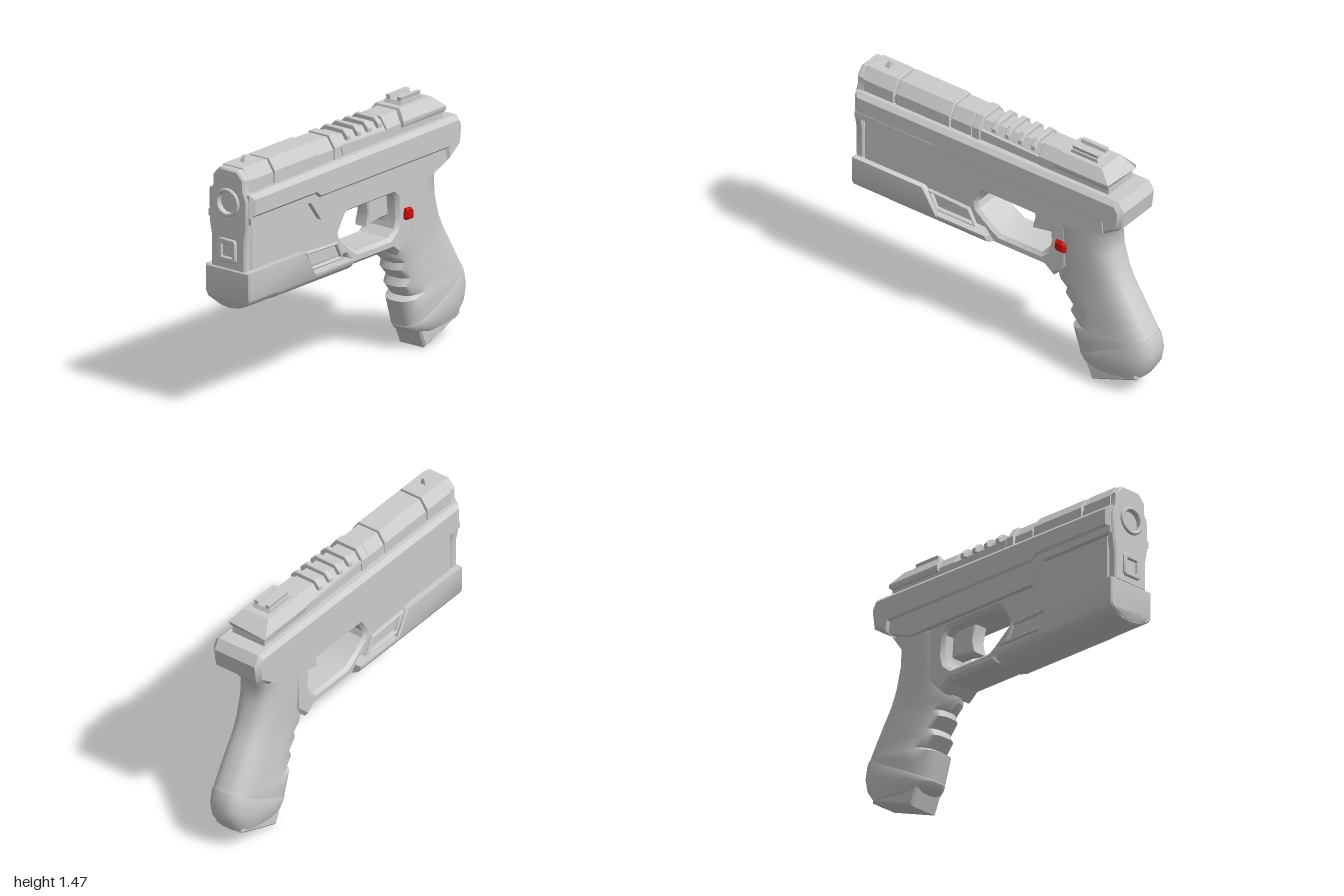
import * as THREE from 'three';
import { toCreasedNormals } from 'three/addons/utils/BufferGeometryUtils.js';

const grey = new THREE.MeshStandardMaterial({ color: 0xcccccc });
const red = new THREE.MeshStandardMaterial({ color: 0xcc0a0a });

const toShape = (pts, hole) => {
  const s = new THREE.Shape(pts.map(([a, b]) => new THREE.Vector2(a, b)));
  if (hole) s.holes.push(new THREE.Path(hole.map(([a, b]) => new THREE.Vector2(a, b))));
  return s;
};
const mirrorX = (half) => [...half, ...half.filter(([x]) => x > 0).reverse().map(([x, y]) => [-x, y])];
const circle = (cx, cy, r, n = 32) =>
  Array.from({ length: n }, (_, i) => [cx + r * Math.cos(i / n * Math.PI * 2), cy + r * Math.sin(i / n * Math.PI * 2)]);

// Extrusion whose outline stays true at mid depth
function extrude(shape, depth, bevel) {
  return new THREE.ExtrudeGeometry(shape, {
    depth: depth - 2 * bevel, bevelEnabled: bevel > 0, bevelSize: bevel, bevelThickness: bevel,
    bevelOffset: -bevel, bevelSegments: 1, curveSegments: 12,
  });
}

// Side outline in (z, y), extruded to both sides of x = 0
function sideGeo(pts, halfWidth, bevel = 0, hole) {
  const g = extrude(toShape(pts, hole), 2 * halfWidth, bevel);
  g.translate(0, 0, -(halfWidth - bevel));
  return g.rotateY(-Math.PI / 2);
}

// Cross-section in (x, y), extruded from z0 up to z1
function barGeo(pts, z0, z1, bevel = 0, hole) {
  return extrude(toShape(pts, hole), z1 - z0, bevel).translate(0, 0, z0 + bevel);
}

// Move vertices by a rule
function warp(g, rule) {
  const p = g.attributes.position, v = new THREE.Vector3();
  for (let i = 0; i < p.count; i++) {
    rule(v.fromBufferAttribute(p, i));
    p.setXYZ(i, v.x, v.y, v.z);
  }
  return g;
}

// Loft of rounded rings: [frontZ, frontY, backZ, backY, halfWidth], top to bottom
function loftGeo(rings, n = 36) {
  const pos = [], idx = [];
  const round = (t) => Math.sign(t) * Math.pow(Math.abs(t), 0.7);
  for (const [fz, fy, bz, by, w] of rings) {
    for (let j = 0; j < n; j++) {
      const a = j / n * Math.PI * 2, t = (1 + round(Math.cos(a))) / 2;
      pos.push(w * round(Math.sin(a)), by + (fy - by) * t, bz + (fz - bz) * t);
    }
  }
  for (let i = 0; i < rings.length - 1; i++) {
    for (let j = 0; j < n; j++) {
      const a = i * n + j, b = i * n + (j + 1) % n;
      idx.push(a, a + n, b, b, a + n, b + n);
    }
  }
  // end caps
  for (const [row, up] of [[0, true], [rings.length - 1, false]]) {
    const [fz, fy, bz, by] = rings[row], c = pos.length / 3;
    pos.push(0, (fy + by) / 2, (fz + bz) / 2);
    for (let j = 0; j < n; j++) {
      const a = row * n + j, b = row * n + (j + 1) % n;
      idx.push(c, up ? a : b, up ? b : a);
    }
  }
  const g = new THREE.BufferGeometry();
  g.setAttribute('position', new THREE.Float32BufferAttribute(pos, 3));
  g.setIndex(idx);
  return g;
}

export function createModel() {
  const model = new THREE.Group();
  const add = (name, geo, mat = grey, crease = 0.6) => {
    const m = new THREE.Mesh(toCreasedNormals(geo, crease), mat);
    m.name = name;
    model.add(m);
    return m;
  };

  // Frame with the trigger opening
  add('frame', sideGeo(
    [[0.94, 1.2], [0.94, 0.72], [0.08, 0.72], [0.05, 0.65], [-0.3, 0.65], [-0.36, 0.6], [-0.46, 0.7], [-0.46, 1.2]],
    0.12, 0.02,
    [[0.16, 0.87], [0.11, 0.95], [0.08, 0.97], [-0.3, 0.97], [-0.335, 0.94], [-0.345, 0.82],
      [-0.33, 0.76], [-0.28, 0.72], [0, 0.72], [0.08, 0.77], [0.15, 0.83]]));
  add('trigger', sideGeo([[-0.16, 0.99], [-0.36, 0.99], [-0.36, 0.82], [-0.28, 0.82], [-0.165, 0.8], [-0.185, 0.88]], 0.045, 0.01));

  // Side rails and the lower panels beneath them
  add('sideRail', sideGeo(
    [[0.97, 1.29], [-0.83, 1.3], [-0.865, 1.24], [-0.85, 1.13], [-0.73, 1.05], [-0.715, 1.12],
      [0.38, 1.12], [0.42, 1.15], [0.97, 1.15]], 0.162, 0.025));
  add('lowerPanel', sideGeo(
    [[0.97, 1.16], [0.97, 1.12], [0.45, 1.12], [0.36, 1], [-0.57, 1], [-0.73, 1.06], [-0.715, 1.16]], 0.15));

  // Slide: core plus raised sections separated by grooves
  const slideSection = (w, top) => mirrorX([[w, 1.15], [w, top - 0.065], [w - 0.045, top]]);
  add('slideCore', barGeo(slideSection(0.104, 1.405), -0.45, 0.935));
  for (const [z0, z1, w, top] of [[0.73, 0.94, 0.113, 1.428], [0.345, 0.715, 0.113, 1.428],
    [0.2, 0.34, 0.108, 1.42], [0.14, 0.195, 0.113, 1.428], [-0.4, -0.26, 0.11, 1.42]]) {
    add('slideSection', barGeo(slideSection(w, top), z0, z1, 0.004));
  }
  add('slideSidePanel', sideGeo([[0.14, 1.36], [0.12, 1.3], [-0.335, 1.3], [-0.29, 1.35]], 0.11));
  for (let i = 0; i < 4; i++) {
    const z = 0.055 - i * 0.09;
    add('slideRib', barGeo(mirrorX([[0.1, 1.37], [0.1, 1.395], [0.065, 1.43]]), z - 0.016, z + 0.016, 0.004));
  }

  // Front plate, muzzle and square front light
  add('frontPlate', barGeo(
    mirrorX([[0.12, 0.84], [0.12, 1.02], [0.135, 1.1], [0.135, 1.25], [0.11, 1.31], [0.11, 1.37], [0.065, 1.42]]),
    0.93, 0.985, 0.01, circle(0, 1.228, 0.06)));
  add('muzzleRing', barGeo(circle(0, 1.228, 0.082), 0.96, 1, 0.006, circle(0, 1.228, 0.06)));
  add('frontLight', barGeo(
    mirrorX([[0.05, 0.885], [0.063, 0.9], [0.063, 1.005], [0.05, 1.02]]), 0.97, 1, 0.006,
    mirrorX([[0.035, 0.917], [0.035, 0.988]])));

  // Sights
  add('frontSight', warp(new THREE.BoxGeometry(0.045, 0.05, 0.035).translate(0, 1.44, 0.85), (v) => {
    if (v.y > 1.44) { v.x *= 0.3; v.z = 0.85 + (v.z - 0.85) * 0.4 - 0.01; }
  }));
  add('rearSightNeck', new THREE.BoxGeometry(0.22, 0.08, 0.35).translate(0, 1.31, -0.565));
  add('rearSightBlock', warp(
    barGeo(mirrorX([[0.12, 1.335], [0.128, 1.35], [0.128, 1.37], [0.085, 1.432]]), -0.75, -0.38), (v) => {
      if (v.y > 1.4) v.z += v.z < -0.6 ? 0.075 : -0.02;
      if (v.y < 1.34 && v.z < -0.6) v.z += 0.015;
    }));
  add('rearSightBase', warp(new THREE.BoxGeometry(0.115, 0.03, 0.2).translate(0, 1.438, -0.535), (v) => {
    if (v.y > 1.44) v.z = -0.535 + (v.z + 0.535) * 0.85;
  }));
  for (const s of [-1, 1]) {
    add('rearSightProng', warp(new THREE.BoxGeometry(0.025, 0.03, 0.17).translate(s * 0.034, 1.46, -0.535), (v) => {
      if (v.y > 1.46) v.x += s * 0.006;
    }));
  }

  // Under-barrel housing with a rounded belly and a slanted rear end
  const belly = [[0, 0.617], [0.06, 0.624], [0.11, 0.643], [0.14, 0.664], [0.155, 0.69]];
  add('underHousing', warp(barGeo(mirrorX([...belly, [0.155, 0.848]]), 0.08, 0.99, 0.008), (v) => {
    const t = THREE.MathUtils.clamp((v.y - 0.7) / 0.148, 0, 1);
    if (v.z < 0.5) v.z = 0.4 + t * 0.1 + (v.z - 0.08);
    else if (v.y < 0.66) v.z -= 0.012;
  }));
  add('underRail', barGeo(mirrorX([...belly.map(([x, y]) => [x * 0.985, y - 0.004]), [0.152, 0.7]]), 0.075, 0.74, 0.004));
  add('windowFrame', sideGeo([[0.48, 0.835], [0.2, 0.825], [0.145, 0.72], [0.42, 0.72]], 0.14, 0.006,
    [[0.455, 0.82], [0.21, 0.812], [0.17, 0.735], [0.415, 0.735]]));

  // Grip with finger ridges down the front
  add('grip', loftGeo([
    [-0.33, 1.09, -0.8, 1.09, 0.128], [-0.335, 0.97, -0.72, 0.98, 0.125], [-0.34, 0.85, -0.73, 0.87, 0.122],
    [-0.335, 0.74, -0.77, 0.74, 0.118], [-0.345, 0.64, -0.805, 0.67, 0.116], [-0.355, 0.575, -0.835, 0.62, 0.117],
    [-0.41, 0.53, -0.865, 0.57, 0.118], [-0.4, 0.49, -0.89, 0.525, 0.122], [-0.455, 0.43, -0.92, 0.475, 0.122],
    [-0.435, 0.385, -0.94, 0.44, 0.126], [-0.488, 0.32, -0.958, 0.41, 0.125], [-0.452, 0.295, -0.963, 0.4, 0.128],
    [-0.475, 0.22, -0.968, 0.395, 0.129], [-0.5, 0.14, -0.972, 0.39, 0.128],
  ]), grey, 0.75);
  add('gripBase', loftGeo([
    [-0.502, 0.145, -0.972, 0.4, 0.127], [-0.5, 0.135, -0.985, 0.37, 0.132], [-0.51, 0.12, -1, 0.29, 0.132],
    [-0.53, 0.1, -0.985, 0.21, 0.128], [-0.575, 0.085, -0.935, 0.13, 0.11],
  ]), grey, 0.75);
  add('magazine', sideGeo([[-0.56, 0.12], [-0.61, 0.002], [-0.918, 0.12], [-0.91, 0.22], [-0.7, 0.26]], 0.096, 0.012));

  // Release button on the model's left side
  add('button', sideGeo(
    [[-0.395, 0.865], [-0.44, 0.865], [-0.457, 0.845], [-0.457, 0.8], [-0.4, 0.8], [-0.388, 0.815]], 0.02, 0.008), red)
    .position.x = 0.122;

  return model;
}
